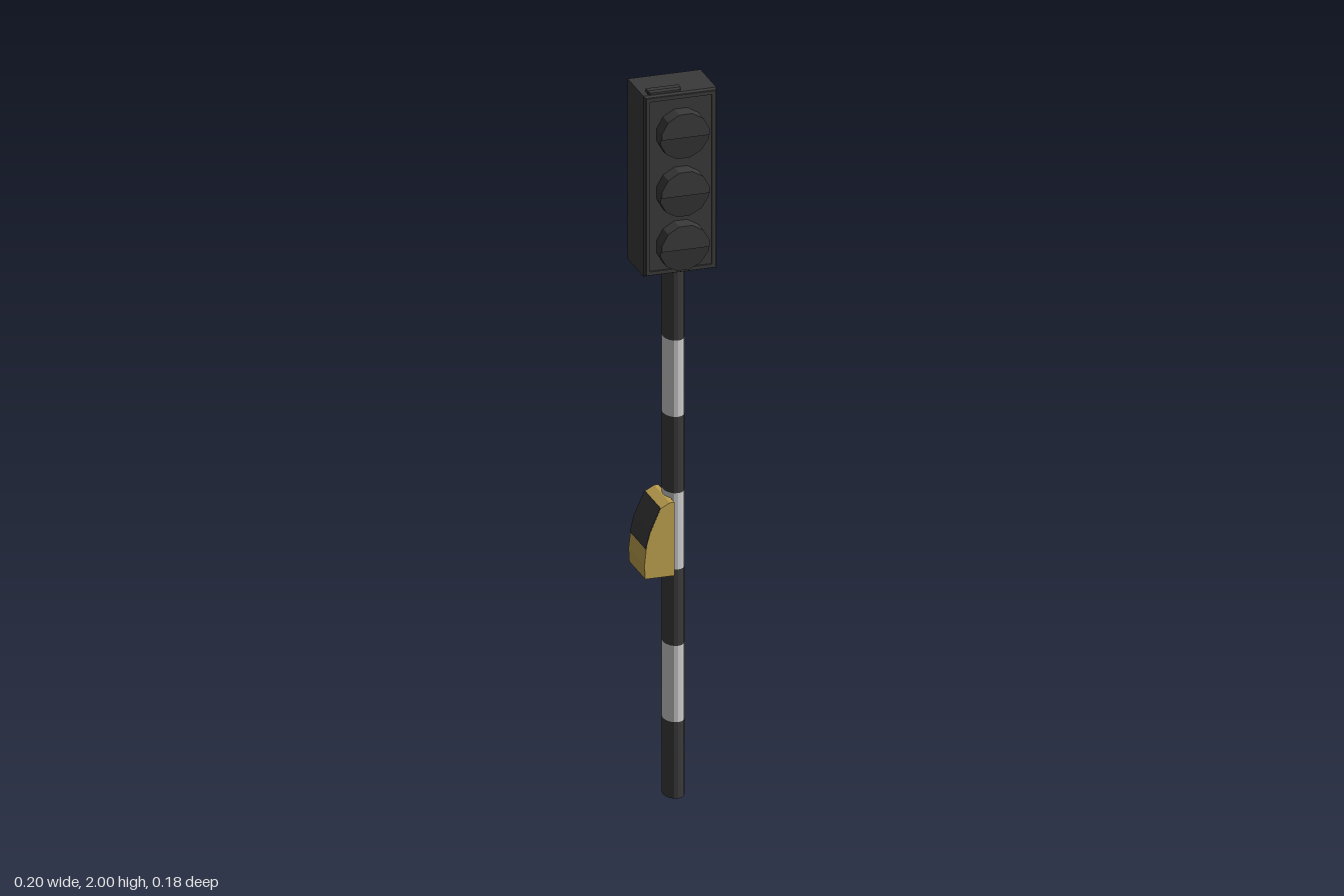
import * as THREE from 'three';

const material = (color) => new THREE.MeshStandardMaterial({ color, flatShading: true });
const dark = material(0x3a3a3a);
const light = material(0xcccccc);
const gold = material(0xbfa24f);

function add(parent, name, geometry, mat, x = 0, y = 0, z = 0) {
  const mesh = new THREE.Mesh(geometry, mat);
  mesh.name = name;
  mesh.position.set(x, y, z);
  parent.add(mesh);
  return mesh;
}

const polygon = (points) => new THREE.Shape(points.map(([x, y]) => new THREE.Vector2(x, y)));
const rect = (w, h) => [[-w / 2, -h / 2], [w / 2, -h / 2], [w / 2, h / 2], [-w / 2, h / 2]];
const extrude = (shape, depth) => new THREE.ExtrudeGeometry(shape, { depth, bevelEnabled: false });

// Block with chamfered edges, centred on its origin
function chamferedBox(w, h, d, c) {
  const geometry = new THREE.ExtrudeGeometry(polygon(rect(w - 2 * c, h - 2 * c)), {
    depth: d - 2 * c, bevelThickness: c, bevelSize: c, bevelSegments: 1,
  });
  return geometry.translate(0, 0, c - d / 2);
}

// Half of a twelve-sided lamp; side is +1 for the upper half, -1 for the lower
function lampHalf(side, depth) {
  const r = 0.068;
  const points = [[r * 0.966, 0]];
  for (let i = 0; i < 6; i++) {
    const a = side * (Math.PI / 12 + (i * Math.PI) / 6);
    points.push([r * Math.cos(a), r * Math.sin(a)]);
  }
  points.push([-r * 0.966, 0]);
  return extrude(polygon(points), depth);
}

export function createModel() {
  const model = new THREE.Group();
  model.name = 'trafficLight';

  // Oval pole in seven alternating bands
  const pole = new THREE.Group();
  pole.name = 'pole';
  model.add(pole);
  const band = 1.5 / 7;
  for (let i = 0; i < 7; i++) {
    const geometry = new THREE.CylinderGeometry(1, 1, band, 16).scale(0.028, 1, 0.041);
    add(pole, i % 2 ? 'lightBand' : 'darkBand', geometry, i % 2 ? light : dark, 0, (i + 0.5) * band, -0.014);
  }

  // Signal housing with a raised rim around the front panel
  const head = new THREE.Group();
  head.name = 'signalHead';
  model.add(head);
  add(head, 'housing', chamferedBox(0.2, 0.506, 0.14, 0.006), dark, 0, 1.737, -0.023);
  const rim = polygon(rect(0.19, 0.496));
  rim.holes.push(polygon(rect(0.17, 0.476)));
  add(head, 'frontRim', extrude(rim, 0.012), dark, 0, 1.737, 0.04);
  add(head, 'topPlate', chamferedBox(0.09, 0.02, 0.028, 0.005), dark, -0.04, 1.99, 0.024);

  // Three lamps: upper hood projects, lower half slopes back
  for (const y of [1.88, 1.717, 1.566]) {
    const lamp = new THREE.Group();
    lamp.name = 'lamp';
    lamp.position.set(0, y, 0.03);
    head.add(lamp);
    add(lamp, 'lampHood', lampHalf(1, 0.061), dark);
    const lower = lampHalf(-1, 0.052);
    const p = lower.attributes.position;
    for (let i = 0; i < p.count; i++) {
      if (p.getZ(i) > 0.01) p.setZ(i, 0.052 + p.getY(i) * 0.18);
    }
    lower.computeVertexNormals();
    add(lamp, 'lampLens', lower, dark);
  }

  // Push-button box with a curved outer face
  const buttonBox = new THREE.Group();
  buttonBox.name = 'buttonBox';
  model.add(buttonBox);
  const curve = [[-0.098, 0.637], [-0.1, 0.675], [-0.095, 0.72], [-0.084, 0.765], [-0.055, 0.83], [-0.03, 0.843]];
  add(buttonBox, 'buttonCase', extrude(polygon([...curve, [-0.018, 0.843], [-0.018, 0.637]]), 0.13), gold, 0, 0, -0.08);

  // Dark panel on the upper part of the curved face
  const face = curve.slice(2, 5);
  const outer = face.map(([x, y]) => [x - 0.002, y + 0.001]).reverse();
  add(buttonBox, 'buttonPanel', extrude(polygon([...face, ...outer]), 0.129), dark, 0, 0, -0.0795);

  return model;
}
